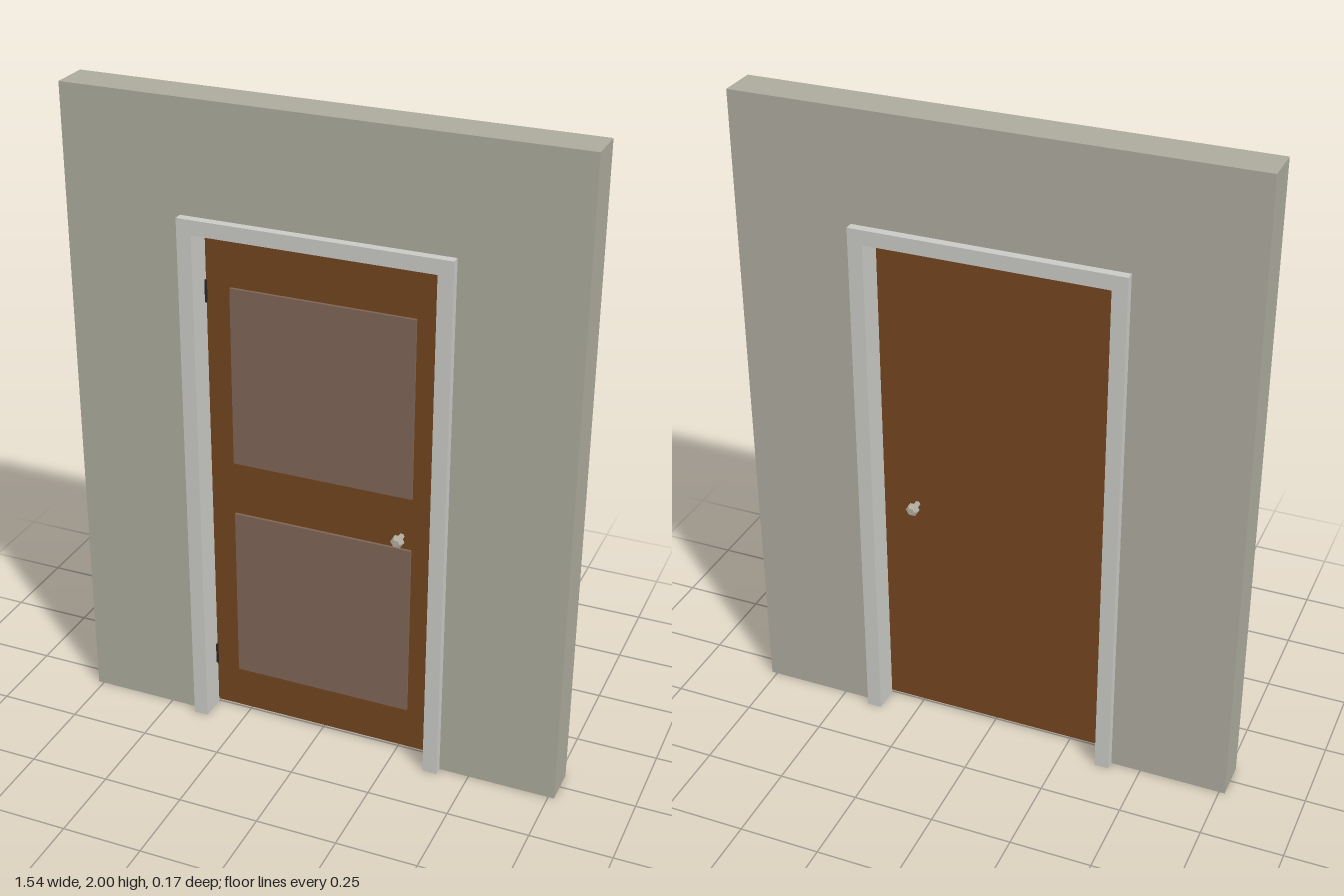
import * as THREE from 'three';

const material = (name, color) => new THREE.MeshStandardMaterial({ name, color });

export function createModel() {
  const model = new THREE.Group();
  model.name = 'doorInWall';

  const wallPaint = material('wallPaint', 0xacaa9d);
  const trimPaint = material('trimPaint', 0xc9c9c5);
  const doorWood = material('doorWood', 0x734420);
  const panelWood = material('panelWood', 0x7e6455);
  const knobMetal = material('knobMetal', 0xb2ada0);
  const hingeMetal = material('hingeMetal', 0x2b2724);

  const add = (name, geometry, mat, parent = model) => {
    const mesh = new THREE.Mesh(geometry, mat);
    mesh.name = name;
    parent.add(mesh);
    return mesh;
  };

  // Box given by its lower and upper corners
  const box = (name, mat, [x0, y0, z0], [x1, y1, z1], parent) =>
    add(name, new THREE.BoxGeometry(x1 - x0, y1 - y0, z1 - z0), mat, parent)
      .position.set((x0 + x1) / 2, (y0 + y1) / 2, (z0 + z1) / 2);

  // Upside-down U around the opening, extruded from z0 to z1
  const inner = 0.362, innerTop = 1.618;
  const arch = (name, width, z0, z1, parent) => {
    const outer = inner + width, top = innerTop + width;
    const shape = new THREE.Shape([
      [-outer, 0], [-inner, 0], [-inner, innerTop], [inner, innerTop],
      [inner, 0], [outer, 0], [outer, top], [-outer, top],
    ].map(([x, y]) => new THREE.Vector2(x, y)));
    const geometry = new THREE.ExtrudeGeometry(shape, { depth: z1 - z0, bevelEnabled: false });
    add(name, geometry, trimPaint, parent).position.z = z0;
  };

  // Wall: two side sections and a header above the opening
  const wall = new THREE.Group();
  wall.name = 'wall';
  model.add(wall);
  box('wallRight', wallPaint, [-0.768, 0, -0.06], [-0.368, 2, 0.06], wall);
  box('wallLeft', wallPaint, [0.368, 0, -0.06], [0.768, 2, 0.06], wall);
  box('wallHeader', wallPaint, [-0.368, 1.624, -0.06], [0.368, 2, 0.06], wall);

  // Frame: lining through the wall, casing on both faces
  const frame = new THREE.Group();
  frame.name = 'doorFrame';
  model.add(frame);
  arch('lining', 0.006, -0.06, 0.06, frame);
  arch('casingFront', 0.045, 0.06, 0.087, frame);
  arch('casingBack', 0.045, -0.087, -0.06, frame);

  // Door leaf with two raised panels on the front
  const door = new THREE.Group();
  door.name = 'door';
  model.add(door);
  box('doorLeaf', doorWood, [-0.358, 0.015, -0.01], [0.358, 1.612, 0.01], door);
  for (const [name, y0, y1] of [['lowerPanel', 0.155, 0.715], ['upperPanel', 0.887, 1.447]]) {
    box(name, panelWood, [-0.281, y0, 0.01], [0.281, y1, 0.019], door);
  }

  // Hinges in the gap on the right edge
  for (const [name, y] of [['lowerHinge', 0.188], ['upperHinge', 1.423]]) {
    box(name, hingeMetal, [-0.362, y - 0.034, -0.013], [-0.355, y + 0.034, 0.013], door);
  }

  // Faceted knobs on short stems, front and back
  const profile = [[0, 0], [0.009, 0], [0.009, 0.022], [0.02, 0.03], [0.02, 0.042], [0.012, 0.05], [0, 0.05]]
    .map(([r, y]) => new THREE.Vector2(r, y));
  const knobGeometry = new THREE.LatheGeometry(profile, 6, Math.PI / 2).toNonIndexed();
  knobGeometry.computeVertexNormals();
  for (const [name, side] of [['frontKnob', 1], ['backKnob', -1]]) {
    const knob = add(name, knobGeometry, knobMetal, door);
    knob.rotation.x = side * Math.PI / 2;
    knob.position.set(0.25, 0.756, side * 0.01);
  }

  return model;
}
